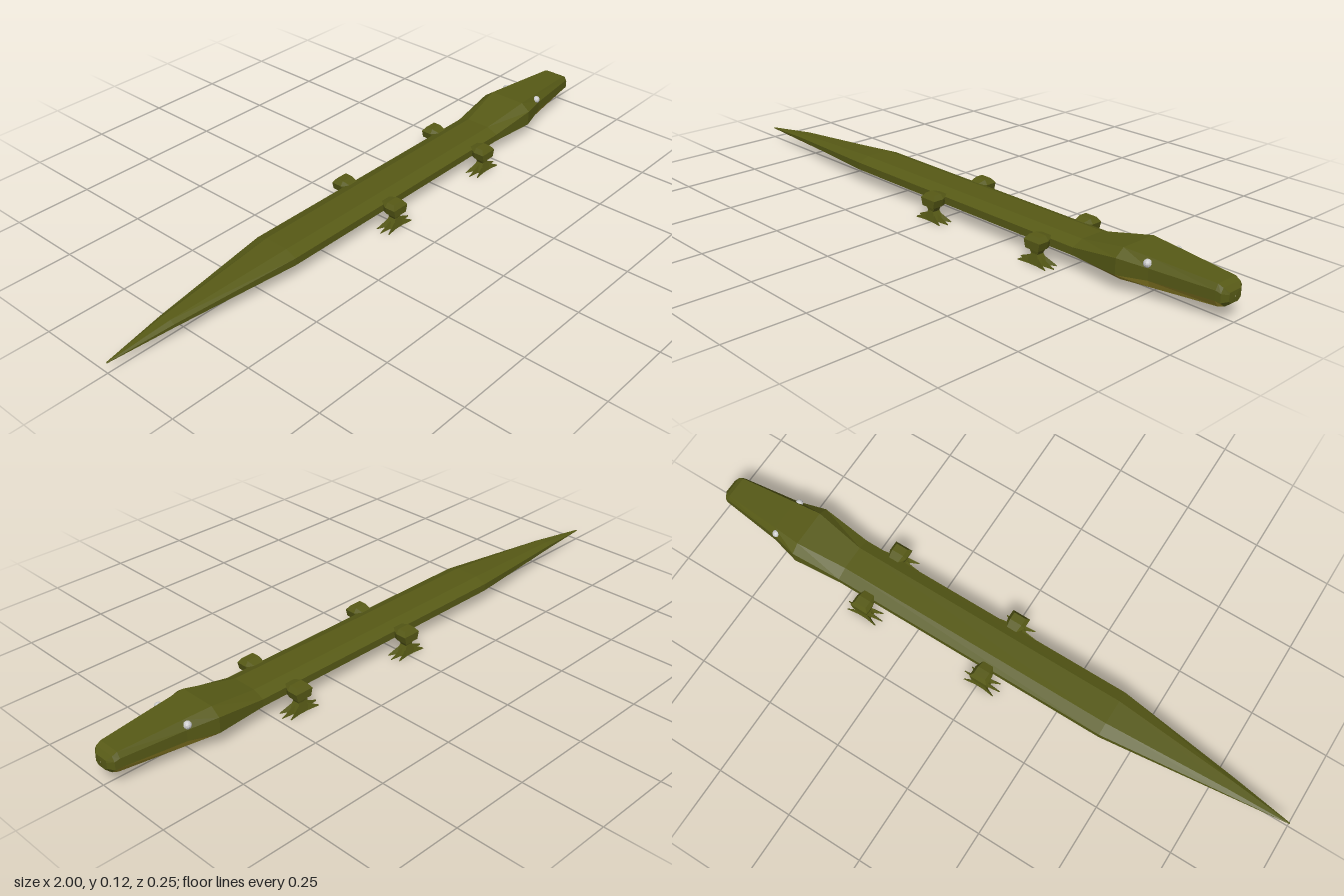
import * as THREE from 'three';
import { ConvexGeometry } from 'three/addons/geometries/ConvexGeometry.js';

const paint = (color) => new THREE.MeshStandardMaterial({ color, flatShading: true });

// Cross-sections from tail to snout:
// [x, top half width, side half width, belly half width, top y, upper side y, lower side y, belly y]
const SECTIONS = [
  [-1.0, 0.001, 0.002, 0.001, 0.035, 0.034, 0.033, 0.032],
  [-0.8, 0.014, 0.028, 0.016, 0.06, 0.052, 0.042, 0.032],
  [-0.4, 0.04, 0.077, 0.045, 0.087, 0.073, 0.05, 0.032],
  [0.53, 0.04, 0.077, 0.045, 0.088, 0.073, 0.05, 0.032],
  [0.69, 0.06, 0.09, 0.066, 0.12, 0.098, 0.05, 0.031],
  [0.78, 0.052, 0.068, 0.056, 0.116, 0.092, 0.058, 0.036],
  [0.97, 0.036, 0.045, 0.03, 0.106, 0.09, 0.062, 0.042],
  [0.985, 0.034, 0.043, 0.024, 0.099, 0.085, 0.06, 0.045],
  [0.997, 0.022, 0.024, 0.014, 0.086, 0.08, 0.062, 0.054],
  [0.998, 0.001, 0.001, 0.001, 0.073, 0.072, 0.071, 0.07],
];

const ring = ([x, t, s, b, yt, yu, yl, yb]) => [
  [x, yt, t], [x, yu, s], [x, yl, s], [x, yb, b],
  [x, yb, -b], [x, yl, -s], [x, yu, -s], [x, yt, -t],
];

// Skins the chosen lengthwise bands of consecutive sections
function skin(name, sections, bands, material) {
  const rings = sections.map(ring);
  const pos = [];
  for (let i = 0; i < rings.length - 1; i++) {
    for (const k of bands) {
      const n = (k + 1) % 8;
      const a = rings[i][k], b = rings[i][n], c = rings[i + 1][n], d = rings[i + 1][k];
      pos.push(...a, ...b, ...c, ...a, ...c, ...d);
    }
  }
  const geo = new THREE.BufferGeometry();
  geo.setAttribute('position', new THREE.Float32BufferAttribute(pos, 3));
  geo.computeVertexNormals();
  const mesh = new THREE.Mesh(geo, material);
  mesh.name = name;
  return mesh;
}

// One leg, with its foot centred on x = 0; side is +1 or -1 in z
function makeLeg(name, side, material) {
  const leg = new THREE.Group();
  leg.name = name;
  const add = (part, geo) => {
    const mesh = new THREE.Mesh(geo, material);
    mesh.name = part;
    leg.add(mesh);
    return mesh;
  };
  // Hull of points given as [x, y, z], mirrored by side
  const hull = (part, pts) =>
    add(part, new ConvexGeometry(pts.map(([x, y, z]) => new THREE.Vector3(x, y, z * side))));
  const slab = (y, hx, z0, z1) => [[-hx, y, z0], [hx, y, z0], [-hx, y, z1], [hx, y, z1]];

  // Shoulder block with a bevelled outer end
  hull('upperLeg', [
    ...slab(0.076, 0.016, 0.06, 0.09), ...slab(0.05, 0.016, 0.06, 0.09),
    ...slab(0.084, 0.02, 0.09, 0.115), ...slab(0.07, 0.03, 0.09, 0.125),
    ...slab(0.046, 0.024, 0.09, 0.125),
  ]);
  hull('shin', [...slab(0.05, 0.022, 0.09, 0.116), ...slab(0.028, 0.01, 0.09, 0.113)]);
  hull('foot', [...slab(0.031, 0.011, 0.089, 0.114), ...slab(0, 0.026, 0.082, 0.12)]);
  // Toes splayed forwards and backwards
  for (const dir of [-1, 1]) {
    for (const [z, tipZ, reach] of [[0.089, 0.078, 0.052], [0.101, 0.101, 0.063], [0.113, 0.124, 0.052]]) {
      hull('toe', [
        [dir * 0.008, 0.026, z], [dir * 0.015, 0, z - 0.007], [dir * 0.015, 0, z + 0.007],
        [dir * reach, 0.003, tipZ], [dir * reach, 0, tipZ - 0.002], [dir * reach, 0, tipZ + 0.001],
      ]);
    }
  }
  return leg;
}

export function createModel() {
  const model = new THREE.Group();
  model.name = 'reptile';
  const green = paint(0x575a16);
  const tan = paint(0x85741f);
  const yellow = paint(0xa4942c);
  const red = paint(0x7c0808);
  const grey = paint(0xcccccc);

  // Body and head: green back, tan flanks underneath, red belly
  const headStart = 4, snout = 7;
  const body = SECTIONS.slice(0, headStart + 1);
  const head = SECTIONS.slice(headStart, snout + 1);
  model.add(
    skin('back', SECTIONS.slice(0, snout + 1), [0, 1, 5, 6, 7], green),
    skin('lowerFlanks', body, [2, 4], tan),
    skin('jawSides', head, [2, 4], yellow),
    skin('belly', SECTIONS.slice(0, snout + 1), [3], red),
    skin('snout', SECTIONS.slice(snout), [0, 1, 2, 3, 4, 5, 6, 7], green),
  );

  for (const side of [1, -1]) {
    const label = side > 0 ? 'front' : 'back';
    // Eyes set into the sides of the head
    const eye = new THREE.Mesh(new THREE.SphereGeometry(0.012, 10, 8), grey);
    eye.name = label + 'Eye';
    eye.position.set(0.772, 0.102, side * 0.062);
    model.add(eye);
    // Two legs on each side
    for (const [x, end] of [[-0.008, 'Tail'], [0.423, 'Head']]) {
      const leg = makeLeg(label + end + 'Leg', side, green);
      leg.position.x = x;
      model.add(leg);
    }
  }
  return model;
}
